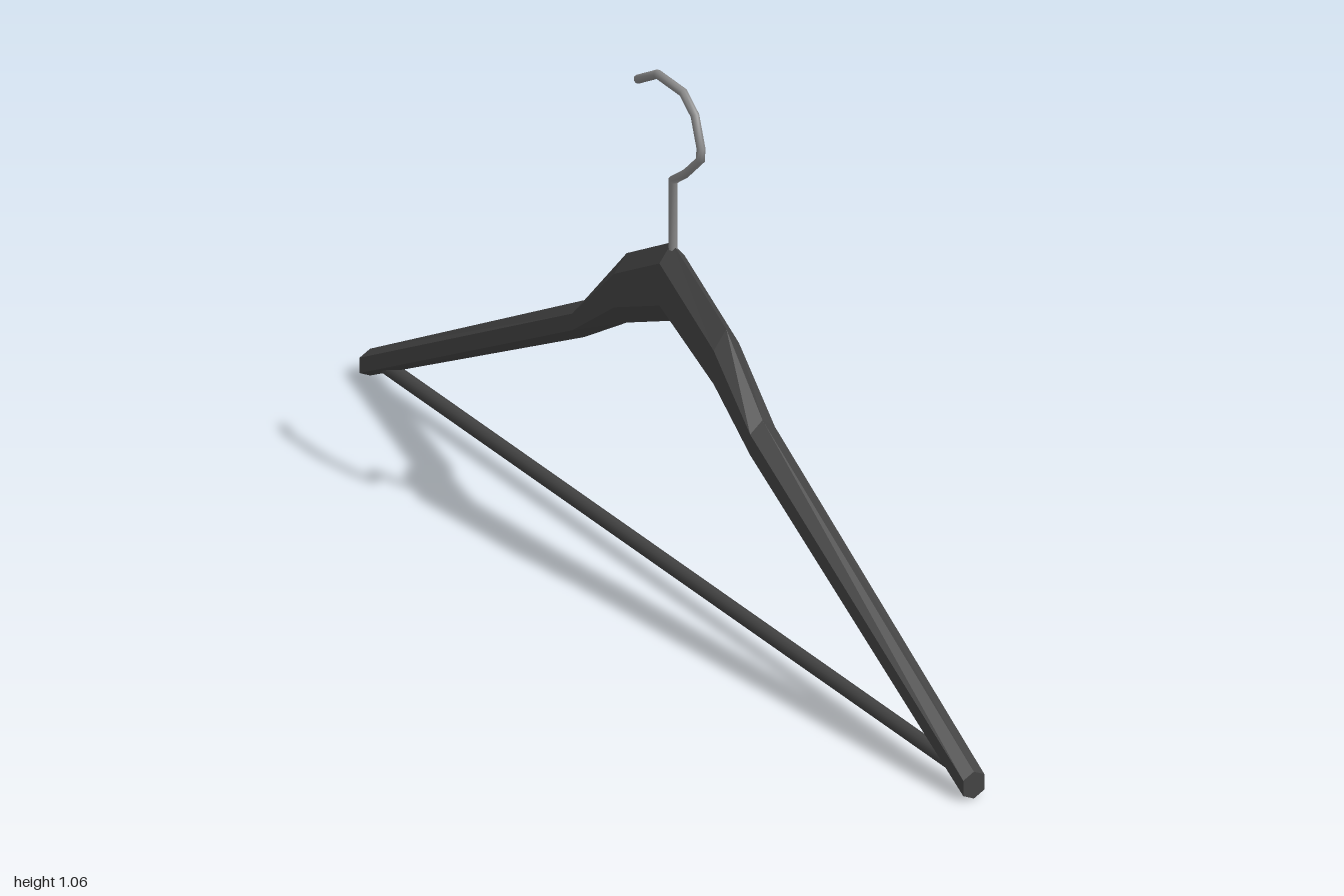
import * as THREE from 'three';
import { mergeVertices } from 'three/addons/utils/BufferGeometryUtils.js';

// Joins equal rings of points into a closed solid, faceted or smooth
function loft(rings, smooth = false) {
  const pos = [];
  const tri = (...pts) => pts.forEach((p) => pos.push(p.x, p.y, p.z));
  const n = rings[0].length;
  for (let i = 0; i < rings.length - 1; i++) {
    for (let j = 0; j < n; j++) {
      const k = (j + 1) % n;
      const a = rings[i][j], b = rings[i][k], c = rings[i + 1][k], d = rings[i + 1][j];
      tri(a, d, b);
      tri(b, d, c);
    }
  }
  const first = rings[0], last = rings[rings.length - 1];
  for (let j = 1; j < n - 1; j++) {
    tri(first[0], first[j], first[j + 1]);
    tri(last[0], last[j + 1], last[j]);
  }
  let geo = new THREE.BufferGeometry();
  geo.setAttribute('position', new THREE.Float32BufferAttribute(pos, 3));
  if (smooth) geo = mergeVertices(geo);
  geo.computeVertexNormals();
  return geo;
}

// Six-sided section of the shoulders: ridge, two side edges each way, keel
function shoulderRing([z, top, upper, lower, bottom, w]) {
  const v = (x, y) => new THREE.Vector3(x, y, z);
  return [v(w, lower), v(w, upper), v(0, top), v(-w, upper), v(-w, lower), v(0, bottom)];
}

// Mitred rings along a wire path lying in the x = 0 plane
function wireRings(path, radius, sides) {
  const pts = path.map(([z, y]) => new THREE.Vector3(0, y, z));
  return pts.map((p, i) => {
    const before = p.clone().sub(pts[Math.max(i - 1, 0)]).normalize();
    const after = pts[Math.min(i + 1, pts.length - 1)].clone().sub(p).normalize();
    const t = before.clone().add(after).normalize();
    const mitre = 1 / t.dot(i ? before : after);
    return Array.from({ length: sides }, (_, j) => {
      const a = (j / sides) * Math.PI * 2;
      const s = Math.sin(a) * radius * mitre;
      return new THREE.Vector3(Math.cos(a) * radius, p.y - t.z * s, p.z + t.y * s);
    });
  });
}

export function createModel() {
  const wood = new THREE.MeshStandardMaterial({ color: 0x434343 });
  wood.name = 'dark wood';
  const metal = new THREE.MeshStandardMaterial({ color: 0x8c8c8c });
  metal.name = 'grey metal';

  const group = new THREE.Group();
  group.name = 'coatHanger';
  const add = (name, geo, mat) => {
    const mesh = new THREE.Mesh(geo, mat);
    mesh.name = name;
    group.add(mesh);
    return mesh;
  };

  // Shoulders: z, ridge, upper edge, lower edge, keel, half width
  const sections = [
    [1, 0.06, 0.048, 0.016, 0.004, 0.0235],
    [0.3, 0.485, 0.463, 0.42, 0.395, 0.0275],
    [0.18, 0.622, 0.585, 0.515, 0.475, 0.028],
    [0, 0.724, 0.688, 0.6, 0.56, 0.028],
    [-0.15, 0.635, 0.6, 0.53, 0.49, 0.028],
    [-0.29, 0.475, 0.455, 0.42, 0.398, 0.0275],
    [-1, 0.06, 0.048, 0.016, 0.004, 0.0235],
  ];
  add('shoulders', loft(sections.map(shoulderRing)), wood);

  // Trouser bar between the arm tips
  const barGeo = new THREE.CylinderGeometry(0.0145, 0.0145, 1.9, 8);
  barGeo.rotateX(Math.PI / 2);
  add('trouserBar', barGeo, wood).position.y = 0.047;

  // Bent wire hook: z, y along the path
  const hookPath = [
    [0.003, 0.69], [0.003, 0.855], [0.045, 0.887], [0.094, 0.937], [0.096, 0.962],
    [0.076, 1.022], [0.037, 1.053], [-0.048, 1.054], [-0.114, 1.014],
  ];
  add('hook', loft(wireRings(hookPath, 0.0085, 8), true), metal);

  return group;
}
